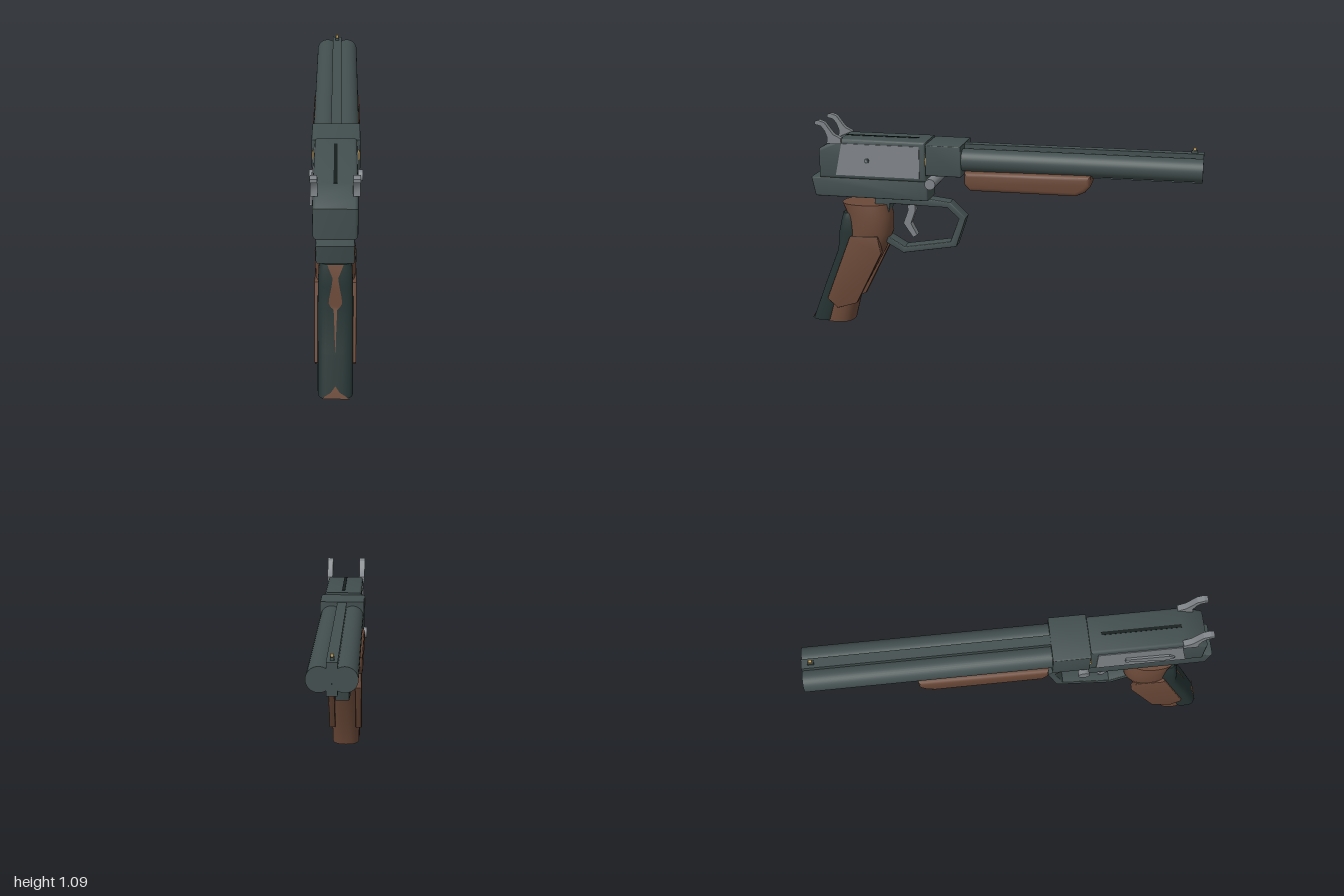
import * as THREE from 'three';
import { toCreasedNormals } from 'three/addons/utils/BufferGeometryUtils.js';

const mat = (name, color, side = THREE.FrontSide) => {
  const m = new THREE.MeshStandardMaterial({ color, side });
  m.name = name;
  return m;
};

export function createModel() {
  const model = new THREE.Group();
  model.name = 'doubleBarrelPistol';
  const steel = mat('dark steel', 0x434f4f);
  const strap = mat('blackened steel', 0x243231);
  const silver = mat('grey steel', 0x7f8488);
  const wood = mat('brown wood', 0x6b4938, THREE.DoubleSide);
  const brass = mat('brass', 0xc8a560);
  const black = mat('slot black', 0x161d1d);

  const add = (name, geo, material, x = 0, y = 0, z = 0) => {
    const m = new THREE.Mesh(geo, material);
    m.name = name;
    m.position.set(x, y, z);
    model.add(m);
    return m;
  };
  const box = (name, w, h, d, material, x, y, z) =>
    add(name, new THREE.BoxGeometry(w, h, d), material, x, y, z);

  // side profile given as [z, y] points, extruded to width w across x
  const profile = (name, pts, w, material, x = 0, bevel = 0, hole = null) => {
    const shape = new THREE.Shape(pts.map(p => new THREE.Vector2(...p)));
    if (hole) shape.holes.push(new THREE.Path(hole.map(p => new THREE.Vector2(...p))));
    const geo = new THREE.ExtrudeGeometry(shape, {
      depth: w - 2 * bevel, bevelEnabled: bevel > 0, bevelThickness: bevel,
      bevelSize: bevel, bevelOffset: -bevel, bevelSegments: 3,
    });
    geo.translate(0, 0, bevel - w / 2);
    geo.rotateY(-Math.PI / 2);
    return add(name, toCreasedNormals(geo, 0.6), material, x);
  };

  // superellipse loft, rows of [y, zMin, zMax, halfWidth] from bottom to top
  const loft = (name, rows, power, material) => {
    const N = 32, pos = [];
    const sp = v => Math.sign(v) * Math.pow(Math.abs(v), 2 / power);
    const rings = rows.map(([y, z0, z1, hw]) => Array.from({ length: N }, (_, i) => {
      const t = (i / N) * Math.PI * 2;
      return [hw * sp(Math.cos(t)), y, (z0 + z1) / 2 + ((z1 - z0) / 2) * sp(Math.sin(t))];
    }));
    const mid = ([y, z0, z1]) => [0, y, (z0 + z1) / 2];
    const top = rows.length - 1;
    for (let i = 0; i < N; i++) {
      const k = (i + 1) % N;
      for (let j = 0; j < top; j++) {
        const a = rings[j][i], b = rings[j][k], c = rings[j + 1][i], d = rings[j + 1][k];
        pos.push(...a, ...c, ...b, ...b, ...c, ...d);
      }
      pos.push(...mid(rows[0]), ...rings[0][i], ...rings[0][k]);
      pos.push(...mid(rows[top]), ...rings[top][k], ...rings[top][i]);
    }
    const geo = new THREE.BufferGeometry();
    geo.setAttribute('position', new THREE.Float32BufferAttribute(pos, 3));
    return add(name, toCreasedNormals(geo, 0.7), material);
  };

  // twin barrels with ribs, and the breech block
  for (const s of [-1, 1]) {
    const tube = new THREE.CylinderGeometry(0.056, 0.056, 1.18, 40).rotateX(Math.PI / 2);
    add('barrel', tube, steel, s * 0.054, 0.908, -0.41);
    const shell = new THREE.CylinderGeometry(0.05, 0.05, 0.008, 32).rotateX(Math.PI / 2);
    add('cartridgeHead', shell, brass, s * 0.062, 0.908, 0.35);
  }
  box('topRib', 0.048, 0.06, 1.17, steel, 0, 0.951, -0.415);
  box('bottomRib', 0.048, 0.05, 1.17, steel, 0, 0.862, -0.415);
  box('sightBase', 0.018, 0.015, 0.03, steel, 0, 0.986, -0.955);
  box('sightBead', 0.012, 0.016, 0.016, brass, 0, 0.999, -0.955);
  profile('breechBlock', [[0.17, 0.83], [0.35, 0.83], [0.35, 0.985], [0.17, 0.985]],
    0.226, steel, 0, 0.006);

  // wooden forearm below the barrels
  profile('forearm', [[0.155, 0.855], [0.155, 0.795], [0.125, 0.763], [-0.4, 0.763],
    [-0.445, 0.785], [-0.47, 0.815], [-0.47, 0.866], [-0.17, 0.862]], 0.236, wood, 0, 0.02);

  // receiver and lower frame
  profile('receiver', [[0.35, 0.79], [0.91, 0.79], [0.91, 0.938], [0.87, 0.962],
    [0.79, 0.996], [0.35, 0.996]], 0.194, steel, 0, 0.016);
  profile('lowerFrame', [[0.35, 0.69], [0.94, 0.69], [0.96, 0.787], [0.8, 0.8], [0.35, 0.8]],
    0.166, steel, 0, 0.008);
  box('topSlot', 0.016, 0.006, 0.38, black, 0, 0.995, 0.6);
  for (const s of [-1, 1]) {
    profile('sidePlate', [[0.385, 0.81], [0.82, 0.81], [0.785, 0.972], [0.385, 0.972]],
      0.008, silver, s * 0.097);
    // curved hammer spur
    profile('hammer', [[0.785, 0.97], [0.86, 0.97], [0.855, 1.0], [0.868, 1.035], [0.886, 1.058],
      [0.918, 1.066], [0.918, 1.082], [0.9, 1.087], [0.868, 1.076], [0.845, 1.045],
      [0.825, 1.018], [0.785, 0.998]], 0.03, silver, s * 0.09);
  }
  const screw = (name, r, material, x) =>
    add(name, new THREE.CylinderGeometry(r, r, 0.008, 16).rotateZ(Math.PI / 2), material, x, 0.89, 0.655);
  screw('screw', 0.013, steel, 0.102);
  screw('screwCentre', 0.006, silver, 0.104);
  profile('sideLever', [[0.52, 0.875], [0.72, 0.85], [0.76, 0.87], [0.73, 0.9], [0.52, 0.905]],
    0.012, silver, -0.105);
  add('hingePin', new THREE.CylinderGeometry(0.027, 0.027, 0.254, 24).rotateZ(Math.PI / 2),
    silver, 0, 0.79, 0.325);

  // trigger guard and trigger
  profile('triggerGuard', [[0.64, 0.695], [0.36, 0.69], [0.245, 0.677], [0.165, 0.6], [0.215, 0.445],
    [0.495, 0.395], [0.61, 0.46], [0.64, 0.58]], 0.074, steel, 0, 0.003,
  [[0.56, 0.655], [0.26, 0.65], [0.2, 0.595], [0.246, 0.47], [0.487, 0.428], [0.585, 0.485]]);
  profile('trigger', [[0.475, 0.66], [0.435, 0.66], [0.432, 0.62], [0.457, 0.55], [0.425, 0.49],
    [0.447, 0.477], [0.496, 0.55], [0.47, 0.62]], 0.04, silver);

  // raked grip with side panels
  loft('grip', [[0, 0.78, 0.95, 0.078], [0.135, 0.745, 0.91, 0.08], [0.4, 0.6, 0.81, 0.083],
    [0.5, 0.558, 0.79, 0.093], [0.59, 0.558, 0.793, 0.094], [0.65, 0.57, 0.82, 0.086]], 2.4, wood);
  for (const s of [-1, 1]) {
    profile('gripPanel', [[0.765, 0.48], [0.617, 0.49], [0.6, 0.4], [0.74, 0.12], [0.845, 0.085],
      [0.9, 0.135]], 0.035, wood, s * 0.0765, 0.004);
  }

  // dark backstrap with wooden inlays on its rear face
  const strapRows = [[0.006, 0.88, 0.998, 0.08], [0.2, 0.82, 0.925, 0.08], [0.4, 0.745, 0.845, 0.08],
    [0.5, 0.73, 0.835, 0.078], [0.57, 0.74, 0.818, 0.075], [0.6, 0.75, 0.808, 0.065]];
  loft('backstrap', strapRows, 3.5, strap);
  const rearZ = y => {
    const j = Math.max(1, strapRows.findIndex(r => r[0] >= y));
    const [a, b] = [strapRows[j - 1], strapRows[j]];
    return THREE.MathUtils.lerp(a[2], b[2], (y - a[0]) / (b[0] - a[0])) + 0.002;
  };
  // inlay strip from rows of [y, halfWidth], bottom to top
  const inlay = (name, rows) => {
    const pos = [], idx = [];
    rows.forEach(([y, w], i) => {
      pos.push(-w, y, rearZ(y), w, y, rearZ(y));
      const k = 2 * i;
      if (i) idx.push(k - 2, k - 1, k, k - 1, k + 1, k);
    });
    const geo = new THREE.BufferGeometry();
    geo.setAttribute('position', new THREE.Float32BufferAttribute(pos, 3));
    geo.setIndex(idx);
    geo.computeVertexNormals();
    add(name, geo, wood);
  };
  inlay('stemInlay', [[0.21, 0.001], [0.3, 0.004], [0.39, 0.008], [0.4, 0.02], [0.42, 0.03],
    [0.45, 0.027], [0.5, 0.018], [0.54, 0.012], [0.57, 0.024], [0.6, 0.036]]);
  inlay('heelInlay', [[0.007, 0.066], [0.02, 0.045], [0.035, 0.02], [0.062, 0.001]]);

  return model;
}
